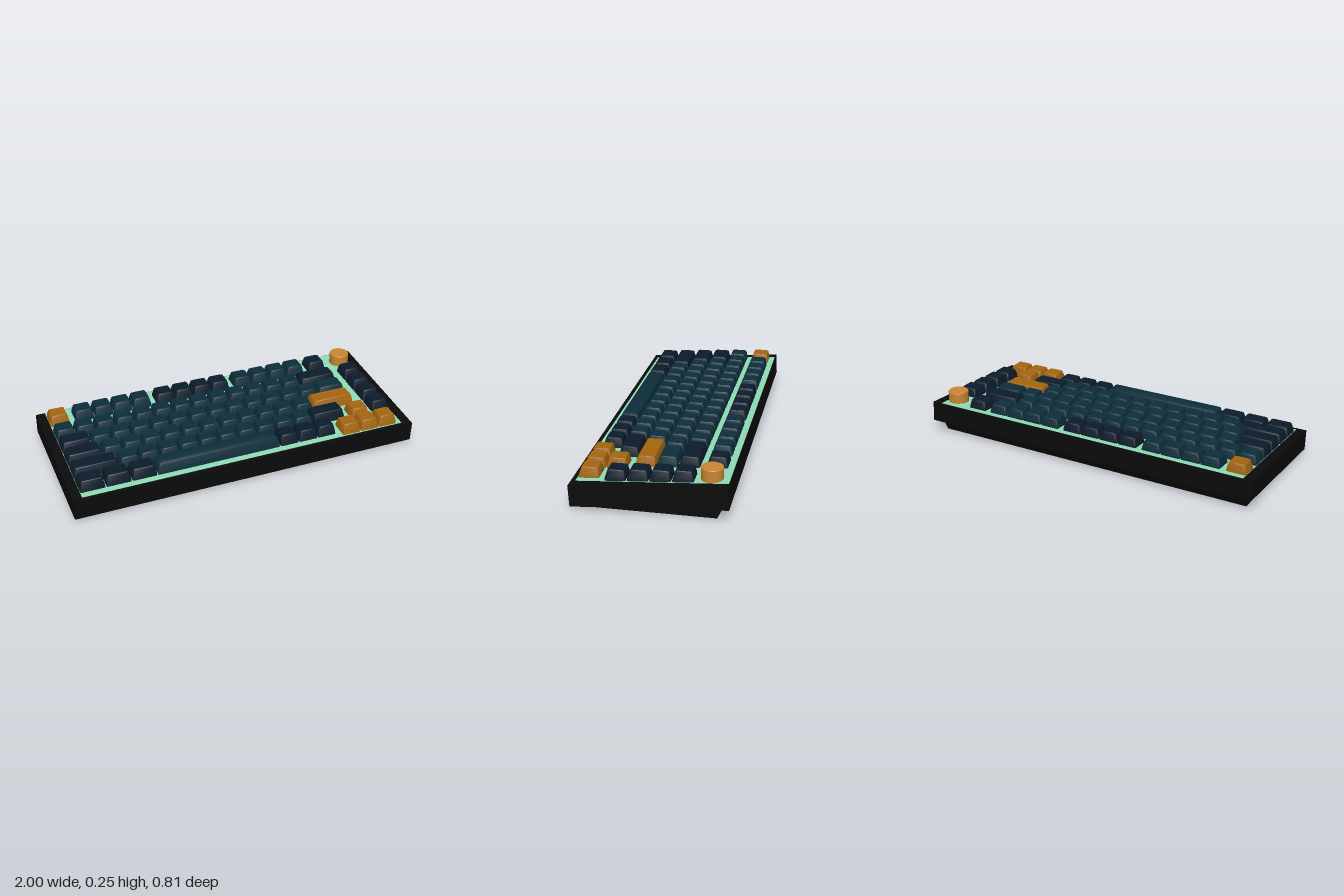
import * as THREE from 'three';
import { toCreasedNormals } from 'three/addons/utils/BufferGeometryUtils.js';

const U = 0.1147;            // key pitch
const X0 = -0.95;            // left edge of the key field
const SLOPE = 0.0708;        // typing angle
const plateY = z => 0.161 - SLOPE * z;

const mat = color => new THREE.MeshStandardMaterial({ color });
const mats = {
  black: mat(0x0b0b0b), mint: mat(0x8fdcb4), teal: mat(0x0d2e3b),
  navy: mat(0x0c1c2b), orange: mat(0xa5660f), brass: mat(0xc98632),
};

// Side profile given as [z, y] points, extruded across x
function slab(points, width) {
  const shape = new THREE.Shape(points.map(p => new THREE.Vector2(p[0], p[1])));
  const geo = new THREE.ExtrudeGeometry(shape, { depth: width, bevelEnabled: false });
  return geo.rotateY(-Math.PI / 2).translate(width / 2, 0, 0);
}

// Keycap lofted through rounded rectangles; the base follows the plate's slope
function keycapGeometry(units, convex) {
  const w = units * U - 0.006, d = U - 0.006, corner = 4;
  // height, side inset, front inset, back inset, corner radius
  const levels = [
    [-0.002, 0, 0, 0, 0.006],
    [0.012, 0.001, 0.002, 0.001, 0.007],
    [0.046, 0.008, 0.013, 0.006, 0.010],
    [0.052, 0.010, 0.015, 0.008, 0.010],
    [0.055, 0.014, 0.019, 0.012, 0.009],
    [0.055, 0.030, 0.035, 0.028, 0.006],
  ];
  const pos = [], index = [], n = 4 * (corner + 1);
  levels.forEach(([h, side, front, back, r], k) => {
    const hx = w / 2 - side - r, hz = (d - front - back) / 2 - r, cz = (back - front) / 2;
    for (let q = 0; q < 4; q++) for (let i = 0; i <= corner; i++) {
      const t = (q + i / corner) * Math.PI / 2;
      const sx = q === 0 || q === 3 ? 1 : -1, sz = q < 2 ? -1 : 1;
      const x = sx * hx + r * Math.cos(t), z = cz + sz * hz - r * Math.sin(t);
      const crown = k === 5 ? (convex ? 0.004 : -0.0015) : 0;
      pos.push(x, h + crown - (k < 2 ? SLOPE * z : 0), z);
    }
  });
  for (let k = 0; k < levels.length - 1; k++) for (let j = 0; j < n; j++) {
    const a = k * n + j, b = k * n + (j + 1) % n;
    index.push(a, b, b + n, a, b + n, a + n);
  }
  // top cap
  const top = (levels.length - 1) * n, c = pos.length / 3;
  pos.push(0, 0.055 + (convex ? 0.006 : -0.002), -0.0035);
  for (let j = 0; j < n; j++) index.push(top + j, top + (j + 1) % n, c);
  const geo = new THREE.BufferGeometry();
  geo.setAttribute('position', new THREE.Float32BufferAttribute(pos, 3));
  geo.setIndex(index);
  return toCreasedNormals(geo, 0.6);
}

// Each key run: [start unit, key width, count, colour]
const rows = [
  { name: 'functionRow', z: -0.306, keys: [[0, 1, 1, 'orange'], [1.25, 1, 4, 'teal'], [5.5, 1, 4, 'navy'],
    [9.75, 1, 4, 'teal'], [14, 1, 1, 'navy']] },
  { name: 'numberRow', z: -0.164, keys: [[0, 1, 13, 'teal'], [13, 2, 1, 'navy'], [15.5, 1, 1, 'navy']] },
  { name: 'upperRow', z: -0.049, keys: [[0, 1.5, 1, 'navy'], [1.5, 1, 12, 'teal'], [13.5, 1.5, 1, 'teal'],
    [15.5, 1, 1, 'navy']] },
  { name: 'homeRow', z: 0.065, keys: [[0, 1.75, 1, 'navy'], [1.75, 1, 11, 'teal'], [12.75, 2.25, 1, 'orange'],
    [15.5, 1, 1, 'navy']] },
  { name: 'lowerRow', z: 0.18, keys: [[0, 2.25, 1, 'navy'], [2.25, 1, 10, 'teal'], [12.25, 1.75, 1, 'navy'],
    [15.5, 1, 1, 'navy']] },
  { name: 'bottomRow', z: 0.294, keys: [[0, 1.25, 3, 'navy'], [3.75, 6.25, 1, 'teal'], [10, 1, 3, 'navy']] },
  { name: 'upArrow', z: 0.209, keys: [[14.25, 1, 1, 'orange']] },
  { name: 'arrowRow', z: 0.323, keys: [[13.25, 1, 3, 'orange']] },
];

export function createModel() {
  const model = new THREE.Group();
  const add = (parent, name, geo, material) => {
    const mesh = new THREE.Mesh(geo, material);
    mesh.name = name;
    parent.add(mesh);
    return mesh;
  };

  // Tilted case and the level base under it
  add(model, 'case', slab([[0.40, 0.015], [0.406, 0.13], [-0.398, 0.187], [-0.405, 0.072]], 2), mats.black);
  add(model, 'base', slab([[0.38, 0], [0.38, 0.05], [-0.385, 0.1], [-0.373, 0.07], [-0.34, 0]], 1.91), mats.black);

  // Switch plate, slightly proud of the case
  const zf = 0.382, zb = -0.394;
  const plate = add(model, 'plate', slab([[zf, plateY(zf) - 0.01], [zf, plateY(zf)],
    [zb, plateY(zb)], [zb, plateY(zb) - 0.01]], 1.89), mats.mint);
  plate.position.x = -0.003;

  // Keycaps
  const cache = {};
  for (const row of rows) {
    const group = new THREE.Group();
    group.name = row.name;
    group.position.set(0, plateY(row.z), row.z);
    for (const [start, width, count, color] of row.keys) {
      cache[width] ??= keycapGeometry(width, width > 5);
      for (let i = 0; i < count; i++) {
        const key = add(group, width > 5 ? 'spaceBar' : 'keycap', cache[width], mats[color]);
        key.position.x = X0 + (start + (i + 0.5) * width) * U;
      }
    }
    model.add(group);
  }

  // Rotary knob on a short stem
  const knob = new THREE.Group();
  knob.name = 'knob';
  knob.position.set(0.886, 0, -0.303);
  const profile = [[0, 0.182], [0.057, 0.182], [0.057, 0.245], [0.054, 0.248], [0, 0.248]]
    .map(p => new THREE.Vector2(p[0], p[1]));
  add(knob, 'knobCap', toCreasedNormals(new THREE.LatheGeometry(profile, 48), 0.5), mats.brass);
  add(knob, 'knobStem', new THREE.CylinderGeometry(0.012, 0.012, 0.02, 20).translate(0, 0.178, 0), mats.brass);
  model.add(knob);

  return model;
}
